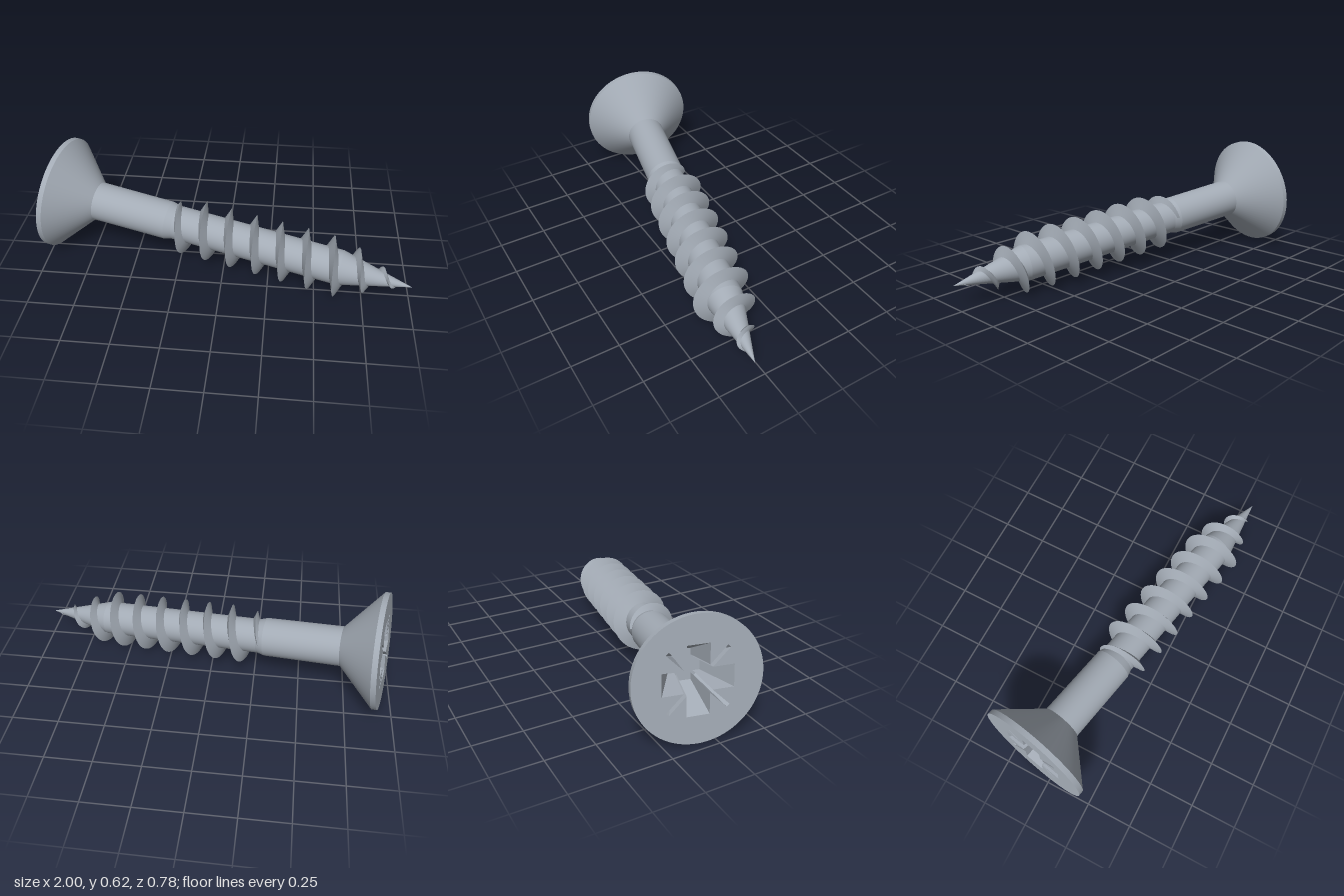
import * as THREE from 'three';

const HEAD_R = 0.31, SHANK_R = 0.107, CORE_R = 0.094;
const RIM = 0.028, NECK = 0.22, THREAD_START = 0.66, TAPER = 1.6, TIP = 1.98;
const PITCH = 0.1425, CREST_AT_TOP = 0.6925;

// Core radius at distance t along the axis
const coreRadius = t => CORE_R * THREE.MathUtils.clamp((TIP - t) / (TIP - TAPER), 0, 1);

// Surface between rows of points that run side by side
function loft(rows) {
  const n = rows[0].length, pos = [], index = [];
  rows.forEach(row => row.forEach(p => pos.push(...p)));
  for (let r = 0; r < rows.length - 1; r++) {
    for (let i = 0; i < n - 1; i++) {
      const a = r * n + i, b = a + n;
      index.push(a, a + 1, b, a + 1, b + 1, b);
    }
  }
  const g = new THREE.BufferGeometry();
  g.setAttribute('position', new THREE.Float32BufferAttribute(pos, 3));
  g.setIndex(index);
  g.computeVertexNormals();
  return g;
}

// Turned section around the x axis; profile is [distance, radius]
function turned(profile) {
  const g = new THREE.LatheGeometry(profile.map(([t, r]) => new THREE.Vector2(r, t)), 72);
  return g.rotateZ(-Math.PI / 2);
}

// Cross outline with a thin diagonal slot between the arms
function crossOutline(quarter) {
  const out = [];
  for (let k = 0; k < 4; k++) {
    const c = Math.round(Math.cos(k * Math.PI / 2)), s = Math.round(Math.sin(k * Math.PI / 2));
    quarter.forEach(([u, v]) => out.push(new THREE.Vector2(u * c - v * s, u * s + v * c)));
  }
  return out;
}

// Flat face looking along -x, with shape coordinates (z, y)
function endFace(shape, x) {
  return new THREE.ShapeGeometry(shape, 72).rotateY(-Math.PI / 2).translate(x, 0, 0);
}

export function createModel() {
  const steel = new THREE.MeshStandardMaterial({ color: 0xa3abb5 });
  steel.name = 'steel';
  const steelSheet = new THREE.MeshStandardMaterial({ color: 0xa3abb5, side: THREE.DoubleSide });
  steelSheet.name = 'steel';

  const screw = new THREE.Group();
  screw.name = 'screw';
  const add = (name, geometry, material = steel) => {
    const mesh = new THREE.Mesh(geometry, material);
    mesh.name = name;
    screw.add(mesh);
  };

  // Countersunk head, plain shank, threaded core and point
  add('headRim', turned([[0, HEAD_R], [RIM, HEAD_R]]));
  add('headCone', turned([[RIM, HEAD_R], [NECK, SHANK_R]]));
  add('shank', turned([[NECK, SHANK_R], [THREAD_START - 0.02, SHANK_R - 0.002]]));
  add('shankEnd', turned([[THREAD_START - 0.02, SHANK_R - 0.002], [THREAD_START + 0.02, CORE_R]]));
  add('core', turned([[THREAD_START + 0.02, CORE_R], [TAPER, CORE_R]]));
  add('point', turned([[TAPER, CORE_R], [TIP, 0.0005]]));

  // Head face with the driver recess cut into it
  const top = crossOutline([[0.17, -0.055], [0.17, 0.055], [0.068, 0.055],
    [0.15, 0.137], [0.137, 0.15], [0.055, 0.068]]);
  const floor = crossOutline([[0.078, -0.035], [0.078, 0.035], [0.045, 0.035],
    [0.06, 0.05], [0.05, 0.06], [0.035, 0.045]]);
  const depth = 0.18;
  const disc = new THREE.Shape().absarc(0, 0, HEAD_R, 0, Math.PI * 2);
  disc.holes.push(new THREE.Path(top));
  add('headFace', endFace(disc, 0));
  add('recessFloor', endFace(new THREE.Shape(floor), depth));
  const ring = (points, x) => [...points, points[0]].map(p => [x, p.y, p.x]);
  const walls = loft([ring(top, 0), ring(floor, depth)]).toNonIndexed();
  walls.computeVertexNormals();
  add('recessWalls', walls, steelSheet);

  // Right-handed thread: two flanks meeting in a sharp crest
  const rear = [], crest = [], front = [];
  const begin = THREAD_START, end = 1.94, steps = 640;
  for (let i = 0; i <= steps; i++) {
    const t = begin + (end - begin) * i / steps;
    const angle = (t - CREST_AT_TOP) / PITCH * Math.PI * 2;
    const grow = THREE.MathUtils.clamp(0.25 + (t - begin) / 0.11, 0, 1);
    const fade = THREE.MathUtils.clamp((end - t) / 0.32, 0, 1);
    const root = coreRadius(t);
    const height = 0.063 * grow * fade;
    const half = 0.007 + 0.018 * Math.min(grow, fade);
    const at = (x, r) => [x, r * Math.cos(angle), r * Math.sin(angle)];
    rear.push(at(t - half, Math.max(coreRadius(t - half) - 0.002, 0)));
    crest.push(at(t, root + height));
    front.push(at(t + half, Math.max(coreRadius(t + half) - 0.002, 0)));
  }
  add('threadRearFlank', loft([rear, crest]));
  add('threadFrontFlank', loft([crest, front]));

  // Lay the screw down, resting on its head and thread
  const start = new THREE.Vector3(-0.931, 0.308, -0.088);
  const axis = new THREE.Vector3(1, 0.11, 0.312).sub(start).normalize();
  const up = new THREE.Vector3(0, 1, 0).addScaledVector(axis, -axis.y).normalize();
  const side = new THREE.Vector3().crossVectors(axis, up);
  const pose = new THREE.Matrix4().makeBasis(axis, up, side).setPosition(start);
  pose.decompose(screw.position, screw.quaternion, screw.scale);

  const model = new THREE.Group();
  model.name = 'countersunkScrew';
  model.add(screw);
  return model;
}
